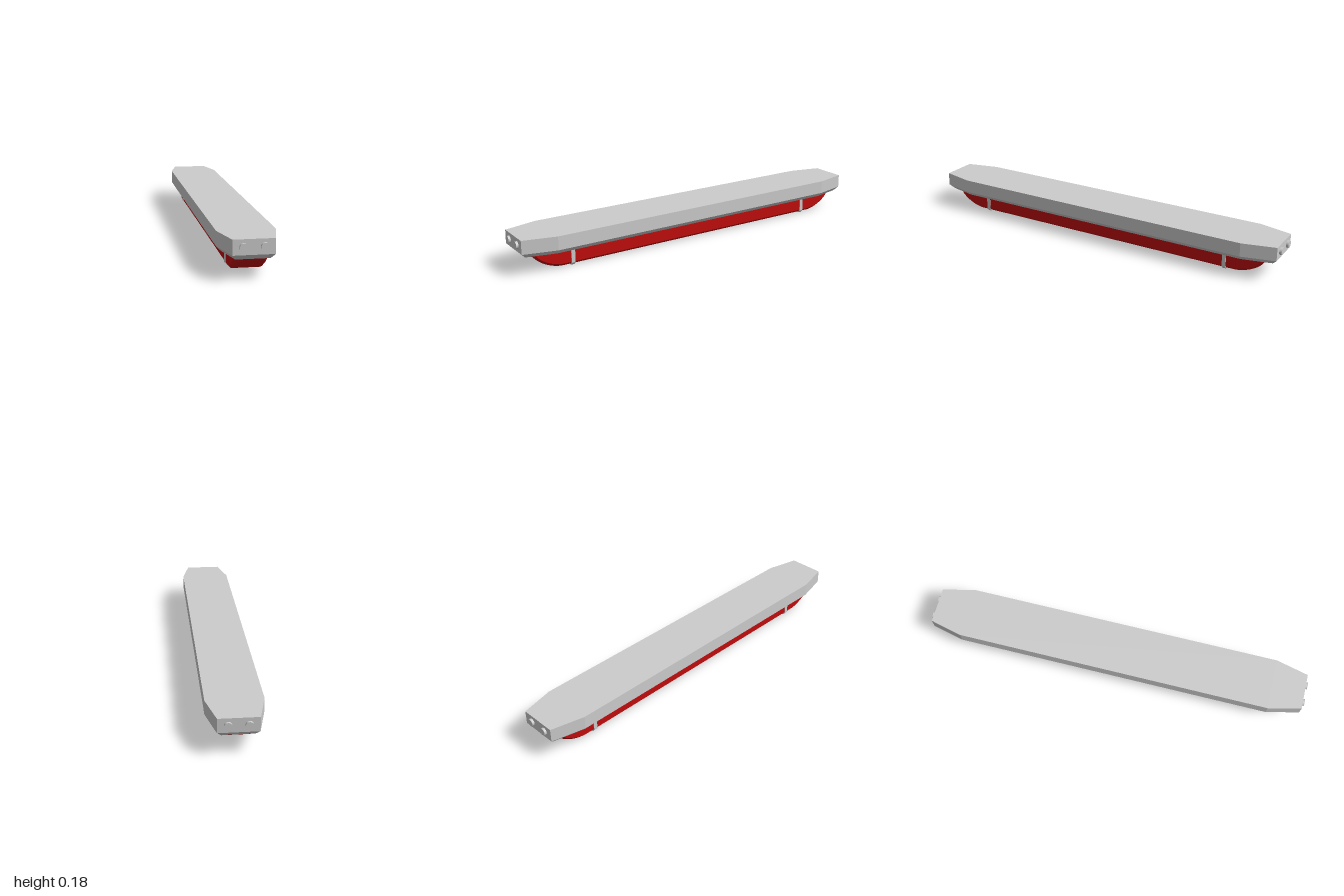
import * as THREE from 'three';
import { toCreasedNormals } from 'three/addons/utils/BufferGeometryUtils.js';

const grey = new THREE.MeshStandardMaterial({ color: 0xcccccc });
const red = new THREE.MeshStandardMaterial({ color: 0xc00c0c });

function add(parent, name, geometry, material) {
  const mesh = new THREE.Mesh(geometry, material);
  mesh.name = name;
  parent.add(mesh);
  return mesh;
}

// Eight-sided outline with tapered ends, at height y
function ring(y, side, sideZ, end, endZ) {
  return [[side, sideZ], [side, -sideZ], [end, -endZ], [-end, -endZ],
    [-side, -sideZ], [-side, sideZ], [-end, endZ], [end, endZ]]
    .map(([x, z]) => [x, y, z]);
}

// Flat-faced solid through a stack of rings, from bottom to top
function loft(rings) {
  const pos = [];
  const tri = (a, b, c) => pos.push(...a, ...b, ...c);
  const n = rings[0].length, top = rings[rings.length - 1];
  for (let r = 0; r < rings.length - 1; r++) {
    for (let i = 0; i < n; i++) {
      const j = (i + 1) % n, lo = rings[r], hi = rings[r + 1];
      tri(lo[i], lo[j], hi[j]);
      tri(lo[i], hi[j], hi[i]);
    }
  }
  for (let i = 1; i < n - 1; i++) {
    tri(top[0], top[i], top[i + 1]);
    tri(rings[0][0], rings[0][i + 1], rings[0][i]);
  }
  const g = new THREE.BufferGeometry();
  g.setAttribute('position', new THREE.Float32BufferAttribute(pos, 3));
  g.computeVertexNormals();
  return g;
}

// Side profile of the cover, swept across the width with chamfered edges
function coverGeometry() {
  const bottom = 0.006, top = 0.115, rim = 0.092, flat = 0.77, end = 0.925;
  const s = new THREE.Shape();
  s.moveTo(-end, top);
  s.lineTo(-end, rim);
  s.bezierCurveTo(-end + 0.01, 0.05, -flat - 0.06, bottom, -flat, bottom);
  s.lineTo(flat, bottom);
  s.bezierCurveTo(flat + 0.06, bottom, end - 0.01, 0.05, end, rim);
  s.lineTo(end, top);
  s.closePath();
  const half = 0.075, bevel = 0.012;
  const g = new THREE.ExtrudeGeometry(s, {
    depth: 2 * (half - bevel), curveSegments: 16,
    bevelThickness: bevel, bevelSize: bevel, bevelOffset: -bevel, bevelSegments: 1,
  });
  g.translate(0, 0, -(half - bevel));
  g.rotateY(Math.PI / 2);
  return toCreasedNormals(g, 0.4);
}

// U-shaped band with chamfered corners
function strapGeometry(width) {
  const o = 0.078, i = 0.073, top = 0.1;
  const s = new THREE.Shape([
    [-o, top], [-o, 0.014], [-0.065, 0], [0.065, 0], [o, 0.014], [o, top],
    [i, top], [i, 0.016], [0.063, 0.005], [-0.063, 0.005], [-i, 0.016], [-i, top],
  ].map(([x, y]) => new THREE.Vector2(x, y)));
  const g = new THREE.ExtrudeGeometry(s, { depth: width, bevelEnabled: false });
  g.translate(0, 0, -width / 2);
  return g;
}

export function createModel() {
  const model = new THREE.Group();
  model.name = 'lightFitting';

  // Housing with a chamfered lower edge
  add(model, 'housing', loft([
    ring(0.092, 0.11, 0.818, 0.076, 0.965),
    ring(0.115, 0.133, 0.82, 0.093, 0.988),
    ring(0.184, 0.133, 0.82, 0.093, 0.988),
  ]), grey);

  // Red cover below
  add(model, 'cover', coverGeometry(), red);

  // Retaining straps and end plugs, mirrored front and back
  const strap = strapGeometry(0.02);
  const plug = new THREE.CylinderGeometry(0.018, 0.018, 0.03, 32).rotateX(Math.PI / 2);
  for (const end of [1, -1]) {
    add(model, end > 0 ? 'frontStrap' : 'backStrap', strap, grey).position.z = end * 0.72;
    for (const side of [1, -1]) {
      const name = (end > 0 ? 'front' : 'back') + (side > 0 ? 'Left' : 'Right') + 'Plug';
      add(model, name, plug, grey).position.set(side * 0.046, 0.15, end * 0.985);
    }
  }
  return model;
}
